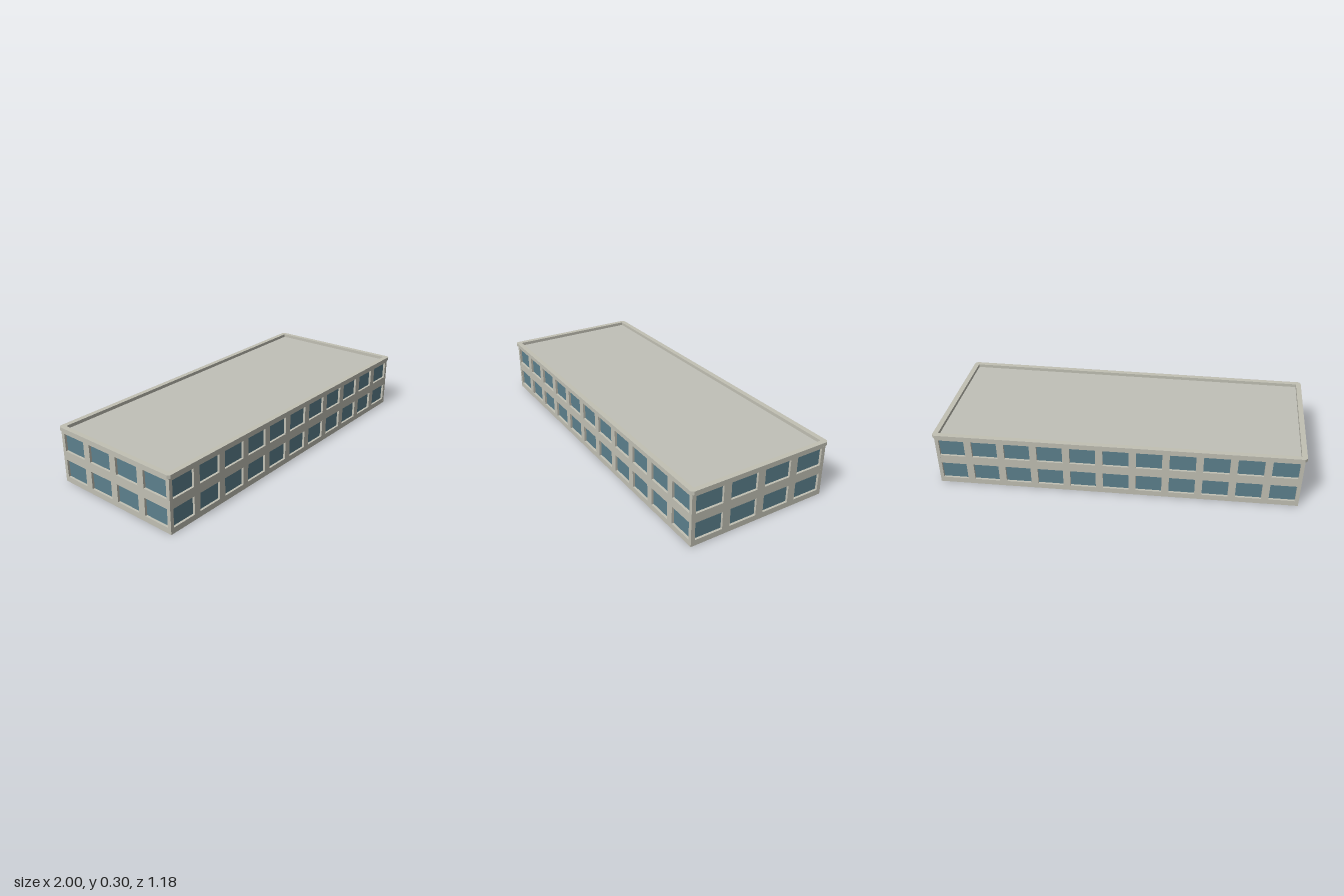
import * as THREE from 'three';

// footprint corners [x, z], running left to right as seen from outside each wall
const CORNERS = [[-0.85, 0.582], [0.99, 0.164], [0.815, -0.58], [-0.992, -0.138]];
const SIDES = [['front', 11], ['left', 4], ['back', 11], ['right', 4]];
const WALL_TOP = 0.278, THICK = 0.015;
const ROWS = [[0.029, 0.122], [0.17, 0.262]];
const WINDOW_SHARE = 0.78;

// moves every edge of the footprint outward by d
function offset(d) {
  return CORNERS.map((c, i) => {
    const p = CORNERS[(i + 3) % 4], n = CORNERS[(i + 1) % 4];
    const u = new THREE.Vector2(c[0] - p[0], c[1] - p[1]).normalize();
    const v = new THREE.Vector2(n[0] - c[0], n[1] - c[1]).normalize();
    const k = d / Math.abs(u.cross(v));
    return [c[0] + (u.x - v.x) * k, c[1] + (u.y - v.y) * k];
  });
}

// cuts a small chamfer off each corner
function chamfer(points, size) {
  const out = [];
  points.forEach((c, i) => {
    for (const o of [points[(i + 3) % 4], points[(i + 1) % 4]]) {
      const len = Math.hypot(o[0] - c[0], o[1] - c[1]);
      out.push([c[0] + (o[0] - c[0]) * size / len, c[1] + (o[1] - c[1]) * size / len]);
    }
  });
  return out;
}

const toVectors = (points) => points.map(([x, z]) => new THREE.Vector2(x, -z));

// horizontal slab of a given outline between two heights
function slab(outline, hole, y0, y1) {
  const shape = new THREE.Shape(toVectors(outline));
  if (hole) shape.holes.push(new THREE.Path(toVectors(hole)));
  const geo = new THREE.ExtrudeGeometry(shape, { depth: y1 - y0, bevelEnabled: false });
  return geo.rotateX(-Math.PI / 2).translate(0, y0, 0);
}

function rectangle(path, x0, y0, x1, y1) {
  path.moveTo(x0, y0);
  path.lineTo(x1, y0);
  path.lineTo(x1, y1);
  path.lineTo(x0, y1);
  path.closePath();
  return path;
}

export function createModel() {
  const model = new THREE.Group();
  model.name = 'officeBuilding';

  const wallMat = new THREE.MeshStandardMaterial({ color: 0xc1c0b4 });
  wallMat.name = 'wallConcrete';
  const roofMat = new THREE.MeshStandardMaterial({ color: 0xc0c0b8 });
  roofMat.name = 'roofGrey';
  const glassMat = new THREE.MeshStandardMaterial({ color: 0x5c808d });
  glassMat.name = 'windowGlass';

  const add = (parent, name, geo, mat) => {
    const mesh = new THREE.Mesh(geo, mat);
    mesh.name = name;
    parent.add(mesh);
    return mesh;
  };

  // walls with two rows of recessed windows
  SIDES.forEach(([side, count], i) => {
    const a = CORNERS[i], b = CORNERS[(i + 1) % 4];
    const dx = b[0] - a[0], dz = b[1] - a[1];
    const length = Math.hypot(dx, dz), pitch = length / count;
    const wall = new THREE.Group();
    wall.name = side + 'Wall';
    wall.position.set(a[0], 0, a[1]);
    wall.rotation.y = Math.atan2(-dz, dx);
    model.add(wall);

    const shape = rectangle(new THREE.Shape(), 0, 0, length, WALL_TOP);
    for (const [y0, y1] of ROWS) {
      for (let k = 0; k < count; k++) {
        const x = (k + 0.5) * pitch, w = pitch * WINDOW_SHARE;
        shape.holes.push(rectangle(new THREE.Path(), x - w / 2, y0, x + w / 2, y1));
        const pane = add(wall, 'windowPane', new THREE.BoxGeometry(w, y1 - y0, 0.003), glassMat);
        pane.position.set(x, (y0 + y1) / 2, 0.0015 - THICK);
      }
    }
    const geo = new THREE.ExtrudeGeometry(shape, { depth: THICK, bevelEnabled: false });
    add(wall, side + 'WallPanel', geo.translate(0, 0, -THICK), wallMat);
  });

  // roof deck and the raised parapet around it
  add(model, 'roofDeck', slab(offset(-0.005), null, 0.27, 0.279), roofMat);
  add(model, 'parapet', slab(chamfer(offset(0.009), 0.012), offset(-0.018), WALL_TOP, 0.296), wallMat);

  return model;
}
